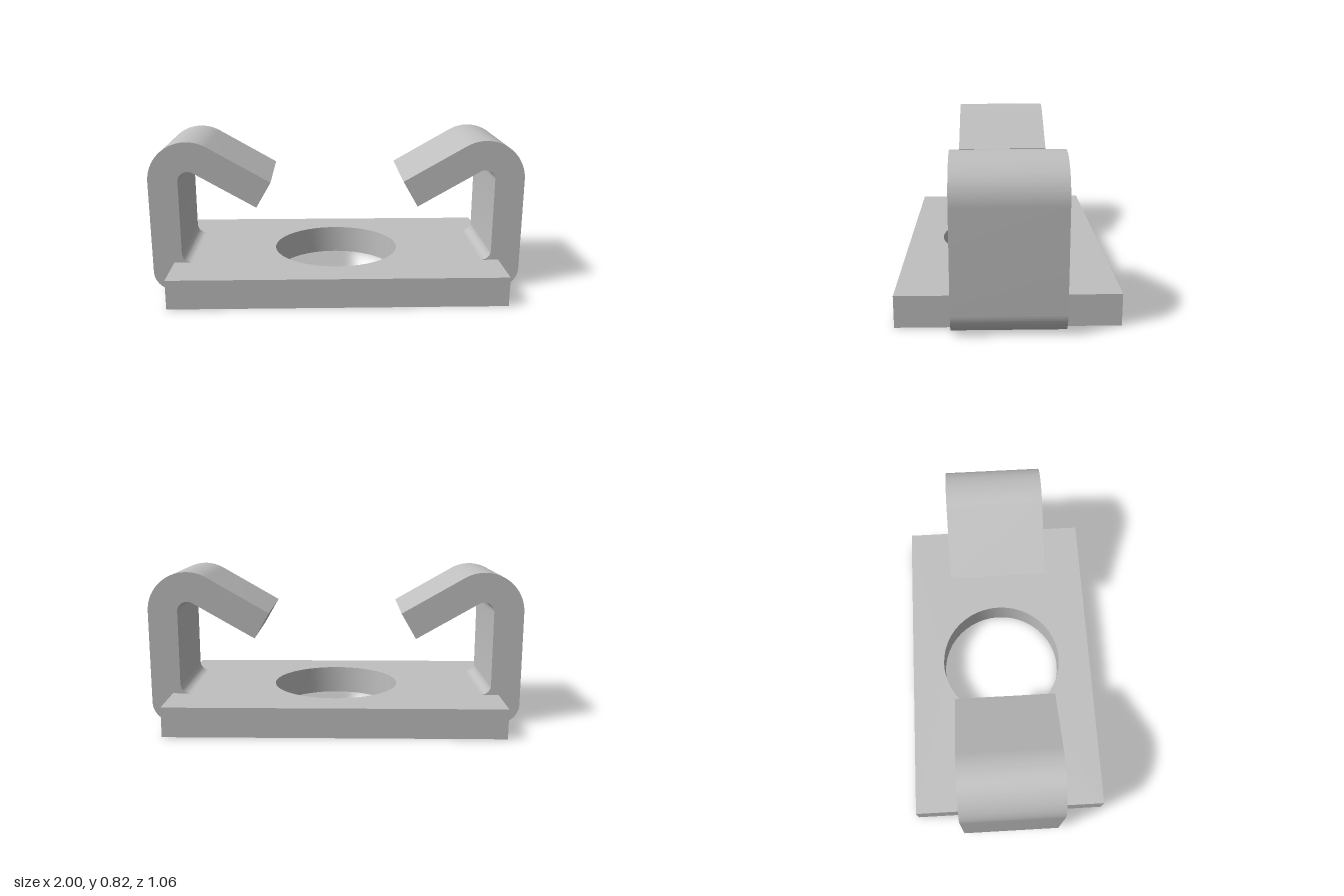
import * as THREE from 'three';
import { toCreasedNormals } from 'three/addons/utils/BufferGeometryUtils.js';

const T = 0.158; // sheet thickness
const PLATE_X = 0.885, PLATE_Z = 0.532, HOLE_R = 0.348, CLIP_Z = 0.266;

function extrude(shape, depth) {
  const geo = new THREE.ExtrudeGeometry(shape, { depth, bevelEnabled: false, curveSegments: 24 });
  geo.translate(0, 0, -depth / 2);
  return toCreasedNormals(geo, 0.4);
}

// Flat base with a round hole through its middle
function plateGeometry() {
  const shape = new THREE.Shape();
  shape.moveTo(-PLATE_X, -PLATE_Z);
  shape.lineTo(PLATE_X, -PLATE_Z);
  shape.lineTo(PLATE_X, PLATE_Z);
  shape.lineTo(-PLATE_X, PLATE_Z);
  shape.closePath();
  const hole = new THREE.Path();
  hole.absarc(0, 0, HOLE_R, 0, Math.PI * 2, true);
  shape.holes.push(hole);
  const geo = extrude(shape, T);
  geo.rotateX(-Math.PI / 2);
  geo.translate(0, T / 2, 0);
  return geo;
}

// Bent strip: rounded foot, upright wall, top bend, arm sloping inwards at 30 degrees
function clipGeometry() {
  const cx = 0.788, cy = 0.608, outer = 0.212, inner = outer - T;
  const bend = Math.PI * 2 / 3;
  const arm = 0.38;
  const tip = (r) => [
    cx + r * Math.cos(bend) - arm * Math.cos(Math.PI / 6),
    cy + r * Math.sin(bend) - arm * Math.sin(Math.PI / 6),
  ];
  const fillet = 0.052, wall = 1 - T;
  const s = new THREE.Shape();
  s.moveTo(PLATE_X, 0);
  s.absarc(0.895, 0.105, 0.105, -Math.PI / 2, 0, false);
  s.absarc(cx, cy, outer, 0, bend, false);
  s.lineTo(...tip(outer));
  s.lineTo(...tip(inner));
  s.absarc(cx, cy, inner, bend, 0, true);
  s.absarc(wall - fillet, T + fillet, fillet, 0, -Math.PI / 2, true);
  s.lineTo(PLATE_X, T);
  s.closePath();
  return extrude(s, CLIP_Z * 2);
}

export function createModel() {
  const model = new THREE.Group();
  model.name = 'clipBracket';
  const metal = new THREE.MeshStandardMaterial({ color: 0xbfbfbf });
  metal.name = 'grey metal';

  const plate = new THREE.Mesh(plateGeometry(), metal);
  plate.name = 'basePlate';
  model.add(plate);

  // Matching clips at both ends
  const clip = clipGeometry();
  ['leftClip', 'rightClip'].forEach((name, i) => {
    const mesh = new THREE.Mesh(clip, metal);
    mesh.name = name;
    mesh.rotation.y = i * Math.PI;
    model.add(mesh);
  });
  return model;
}
